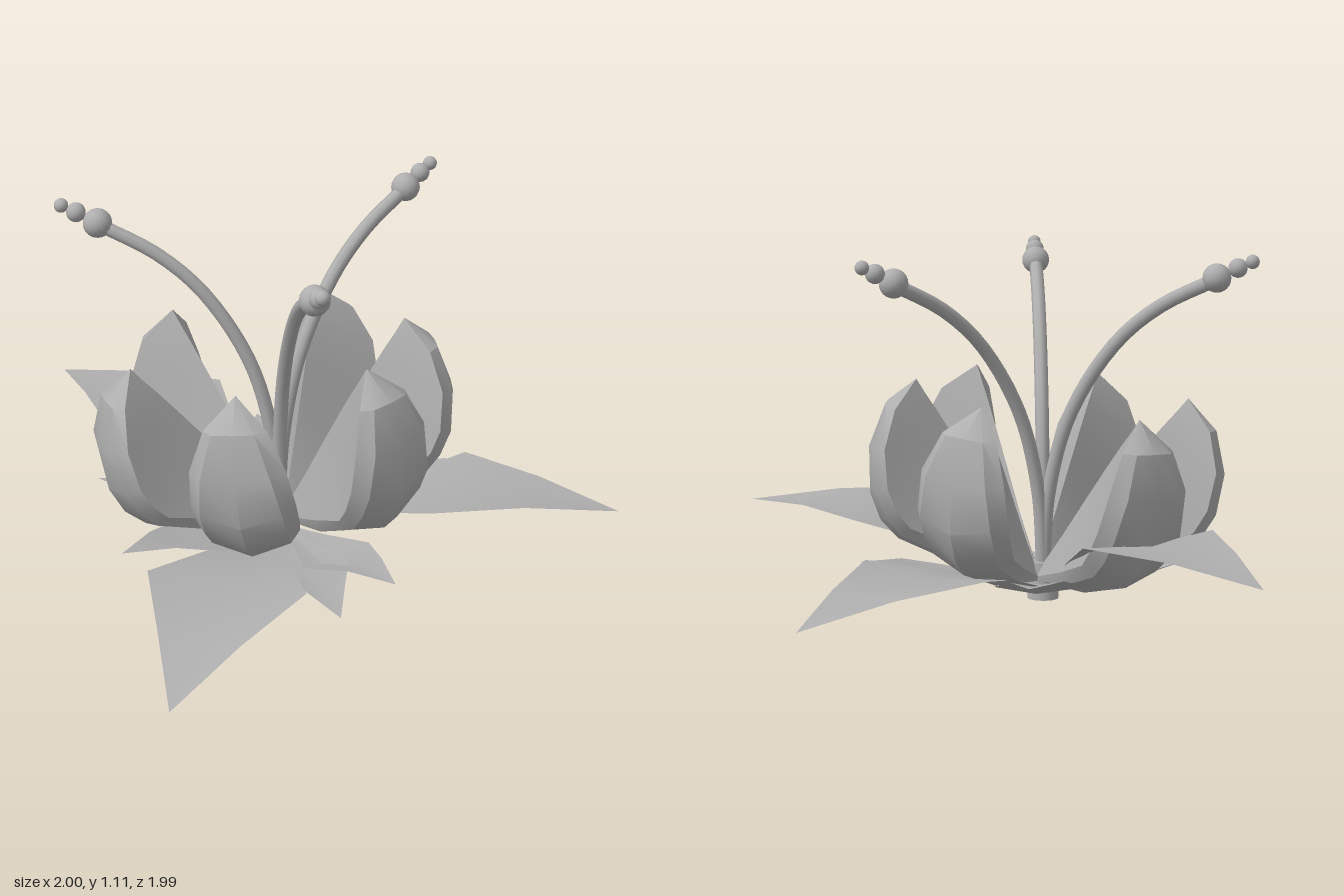
import * as THREE from 'three';
import { toCreasedNormals } from 'three/addons/utils/BufferGeometryUtils.js';

const material = new THREE.MeshStandardMaterial({ color: 0xaeaeae, side: THREE.DoubleSide });

// Skins rows of points (each row an array of [x, y, z]) into one surface
function skin(rows, crease) {
  const n = rows[0].length, index = [];
  for (let i = 0; i < rows.length - 1; i++) {
    for (let j = 0; j < n - 1; j++) {
      const a = i * n + j, b = a + n;
      index.push(a, a + 1, b, a + 1, b + 1, b);
    }
  }
  const g = new THREE.BufferGeometry();
  g.setAttribute('position', new THREE.Float32BufferAttribute(rows.flat(2), 3));
  g.setIndex(index);
  return toCreasedNormals(g, crease);
}

// Solid wedge-shaped petal along +z: a straight inner ridge, two flat walls,
// a narrow bevel on each side and a bulging back
function petalGeometry() {
  // inner ridge z, y | wall edge z, y, half width | bevel edge z, y, half width | back z, y
  const profile = [
    [0, 0.04, 0.02, 0.03, 0.02, 0.03, 0.02, 0.02, 0.03, 0.015],
    [0.12, 0.20, 0.24, 0.11, 0.09, 0.25, 0.07, 0.08, 0.25, 0.04],
    [0.22, 0.34, 0.41, 0.18, 0.145, 0.44, 0.15, 0.12, 0.45, 0.11],
    [0.26, 0.395, 0.455, 0.23, 0.157, 0.49, 0.205, 0.125, 0.51, 0.165],
    [0.30, 0.45, 0.49, 0.30, 0.16, 0.53, 0.28, 0.125, 0.55, 0.25],
    [0.36, 0.53, 0.51, 0.42, 0.145, 0.55, 0.41, 0.105, 0.565, 0.40],
    [0.40, 0.58, 0.49, 0.54, 0.095, 0.52, 0.54, 0.065, 0.525, 0.54],
    [0.435, 0.627, 0.435, 0.626, 0.002, 0.436, 0.626, 0.001, 0.437, 0.626],
  ];
  return skin(profile.map(([iz, iy, wz, wy, w, bz, by, b, z, y]) => [
    [0, iy, iz], [-w, wy, wz], [-b, by, bz], [0, y, z], [b, by, bz], [w, wy, wz], [0, iy, iz],
  ]), 0.5);
}

// Pointed kite-shaped leaf along +z with a shallow centre crease
function leafGeometry(length, half, midY, tipY, roll) {
  const base = 0.04;
  const profile = [
    [0.03, 0.08, base], [0.28, 0.48, base + (midY - base) * 0.6], [0.51, 1, midY],
    [0.75, 0.51, (midY + tipY) / 2 + 0.015], [1, 0.004, tipY],
  ];
  return skin(profile.map(([t, w, y]) => [
    [-w * half, y - roll * w, t * length],
    [0, y - 0.02 * w, t * length],
    [w * half, y + roll * w, t * length],
  ]), 0.4);
}

export function createModel() {
  const flower = new THREE.Group();
  flower.name = 'flower';
  const add = (parent, name, geometry, degrees = 0) => {
    const mesh = new THREE.Mesh(geometry, material);
    mesh.name = name;
    mesh.rotation.y = THREE.MathUtils.degToRad(degrees);
    parent.add(mesh);
    return mesh;
  };
  const heading = (x, z) => THREE.MathUtils.radToDeg(Math.atan2(x, z));
  const body = new THREE.Group();
  body.name = 'blossom';
  body.position.set(-0.06, 0, 0.07);
  flower.add(body);

  // Short stem
  add(body, 'stem', new THREE.CylinderGeometry(0.045, 0.05, 0.12, 12)).position.y = 0.06;

  // Ring of six petals, leaning slightly to the back left
  const petals = new THREE.Group();
  petals.name = 'petals';
  petals.position.set(0.02, 0.045, 0.01);
  petals.rotation.set(-0.09, 0, 0.05);
  body.add(petals);
  const petal = petalGeometry();
  for (const degrees of [0, 55, 114, 180, -114, -55]) add(petals, 'petal', petal, degrees);

  // Four large leaves: direction x and z, middle height, tip height, roll
  for (const [x, z, midY, tipY, roll] of [
    [0.005, -1.07, 0.28, 0.22, 0],
    [1.06, -0.28, 0.18, 0.09, 0],
    [0.54, 0.92, 0.265, 0.24, -0.015],
    [-0.94, 0.55, 0.13, 0.01, 0],
  ]) {
    add(body, 'largeLeaf', leafGeometry(Math.hypot(x, z), 0.245, midY, tipY, roll), heading(x, z));
  }

  // Small leaves between the petals: direction x and z, middle height, tip height
  for (const [x, z, midY, tipY] of [
    [-0.6, -0.05, 0.1, 0.14], [0.38, -0.46, 0.1, 0.16], [0.33, -0.45, 0.1, 0.16],
    [0.56, 0.2, 0.1, 0.15], [-0.05, 0.56, 0.05, 0.07], [-0.26, 0.54, 0.05, 0.03],
    [-0.36, -0.45, 0.1, 0.16],
  ]) {
    add(body, 'smallLeaf', leafGeometry(Math.hypot(x, z), 0.13, midY, tipY, 0), heading(x, z));
  }

  // Three arching stamens, each ending in three shrinking beads
  const arch = new THREE.CatmullRomCurve3([
    [0.08, 0], [0.35, 0.02], [0.6, 0.09], [0.82, 0.23], [0.94, 0.37], [1.03, 0.55],
  ].map(([y, z]) => new THREE.Vector3(0, y, z)));
  const filament = new THREE.TubeGeometry(arch, 24, 0.022, 8);
  for (const degrees of [90, -140, -33]) {
    const stamen = new THREE.Group();
    stamen.name = 'stamen';
    stamen.rotation.y = THREE.MathUtils.degToRad(degrees);
    body.add(stamen);
    add(stamen, 'filament', filament);
    for (const [r, y, z] of [[0.045, 1.033, 0.55], [0.03, 1.065, 0.615], [0.022, 1.085, 0.66]]) {
      add(stamen, 'bead', new THREE.SphereGeometry(r, 16, 12)).position.set(0, y, z);
    }
  }
  return flower;
}
